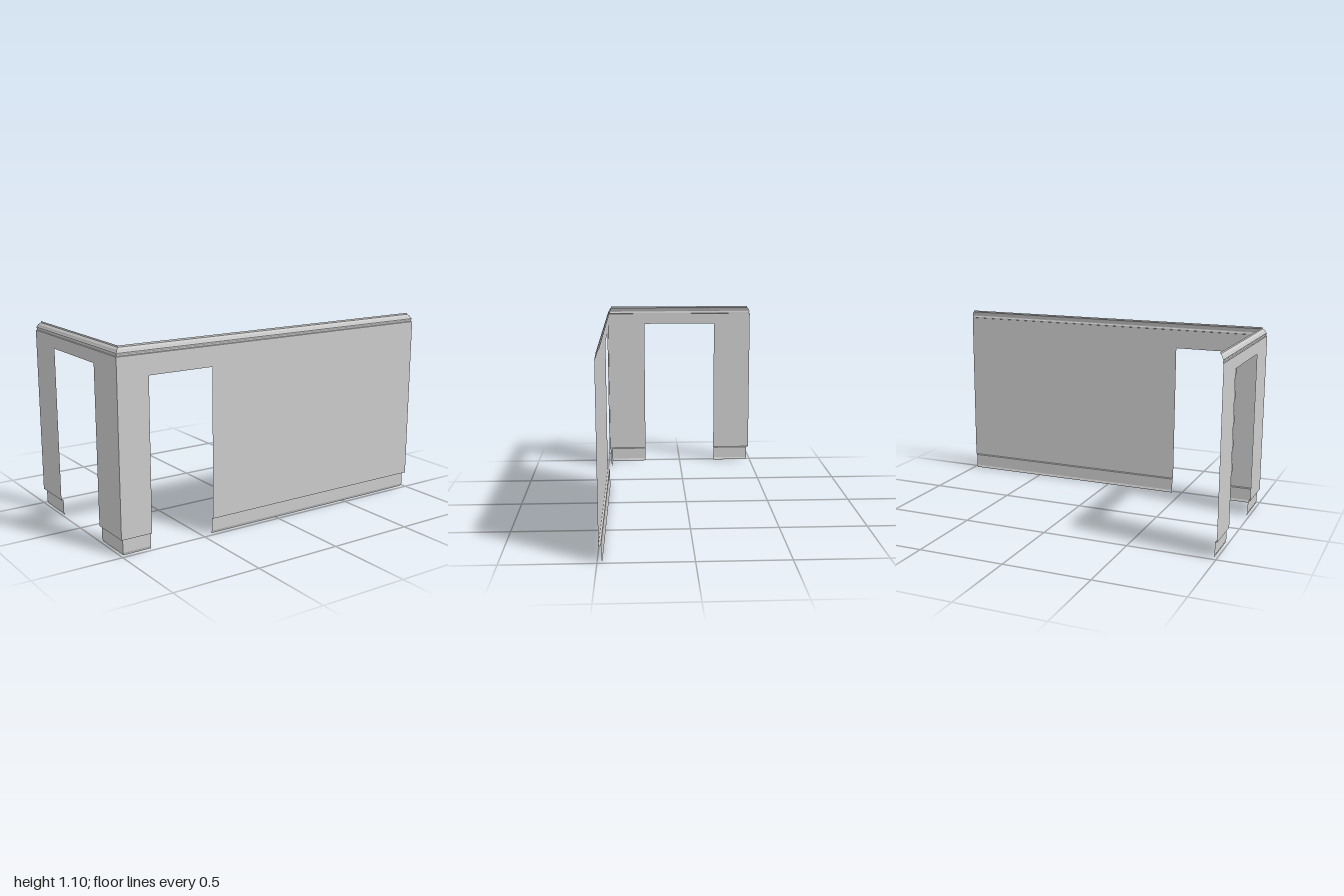
import * as THREE from 'three';

const material = new THREE.MeshStandardMaterial({ color: 0xcccccc, side: THREE.DoubleSide, flatShading: true });

const DEPTH = 0.4915; // half length of the side wall
const BASE_TOP = 0.09;
const WALL_TOP = 1.044;

// Moulding profiles: [inset into the room, height]
const skirtingProfile = [[0.018, 0], [0.018, 0.004], [0.0135, 0.015], [0.0135, 0.088], [0.011, BASE_TOP], [0, BASE_TOP]];
const crownProfile = [
  [0, WALL_TOP], [0.006, 1.046], [0.006, 1.052], [0.003, 1.057], [0.003, 1.062],
  [0.007, 1.067], [0.011, 1.077], [0.018, 1.084], [0.023, 1.087], [0.0235, 1.096],
];

// Sweeps a profile from x0 to x1; ends flagged as mitred are cut at 45 degrees
function moulding(name, profile, x0, x1, mitre0, mitre1) {
  const positions = [];
  const index = [];
  profile.forEach(([d, y], i) => {
    positions.push(x0 + (mitre0 ? d : 0), y, -d, x1 - (mitre1 ? d : 0), y, -d);
    if (i > 0) {
      const a = 2 * (i - 1);
      index.push(a, a + 1, a + 3, a, a + 3, a + 2);
    }
  });
  const geometry = new THREE.BufferGeometry();
  geometry.setAttribute('position', new THREE.Float32BufferAttribute(positions, 3));
  geometry.setIndex(index);
  const flat = geometry.toNonIndexed();
  flat.computeVertexNormals();
  const mesh = new THREE.Mesh(flat, material);
  mesh.name = name;
  return mesh;
}

// One wall with a doorway, skirting on both sides of it and a crown moulding
function wall(name, half, door0, door1, doorTop) {
  const group = new THREE.Group();
  group.name = name;

  const outline = new THREE.Shape([
    [-half, BASE_TOP], [door0, BASE_TOP], [door0, doorTop], [door1, doorTop],
    [door1, BASE_TOP], [half, BASE_TOP], [half, WALL_TOP], [-half, WALL_TOP],
  ].map(([x, y]) => new THREE.Vector2(x, y)));
  const panel = new THREE.Mesh(new THREE.ShapeGeometry(outline), material);
  panel.name = 'wallPanel';

  group.add(
    panel,
    moulding('skirtingNearCorner', skirtingProfile, -half, door0, true, false),
    moulding('skirtingFarSide', skirtingProfile, door1, half, false, true),
    moulding('crownMoulding', crownProfile, -half, half, true, true),
  );
  return group;
}

export function createModel() {
  const model = new THREE.Group();
  model.name = 'roomWalls';

  const front = wall('frontWall', 1, -0.82, -0.44, 0.932);
  front.position.z = DEPTH;

  // Side wall turned so that its mouldings face into the room
  const side = wall('sideWall', DEPTH, -0.242, 0.242, 0.974);
  side.rotation.y = -Math.PI / 2;
  side.position.x = -1;

  model.add(front, side);
  return model;
}
